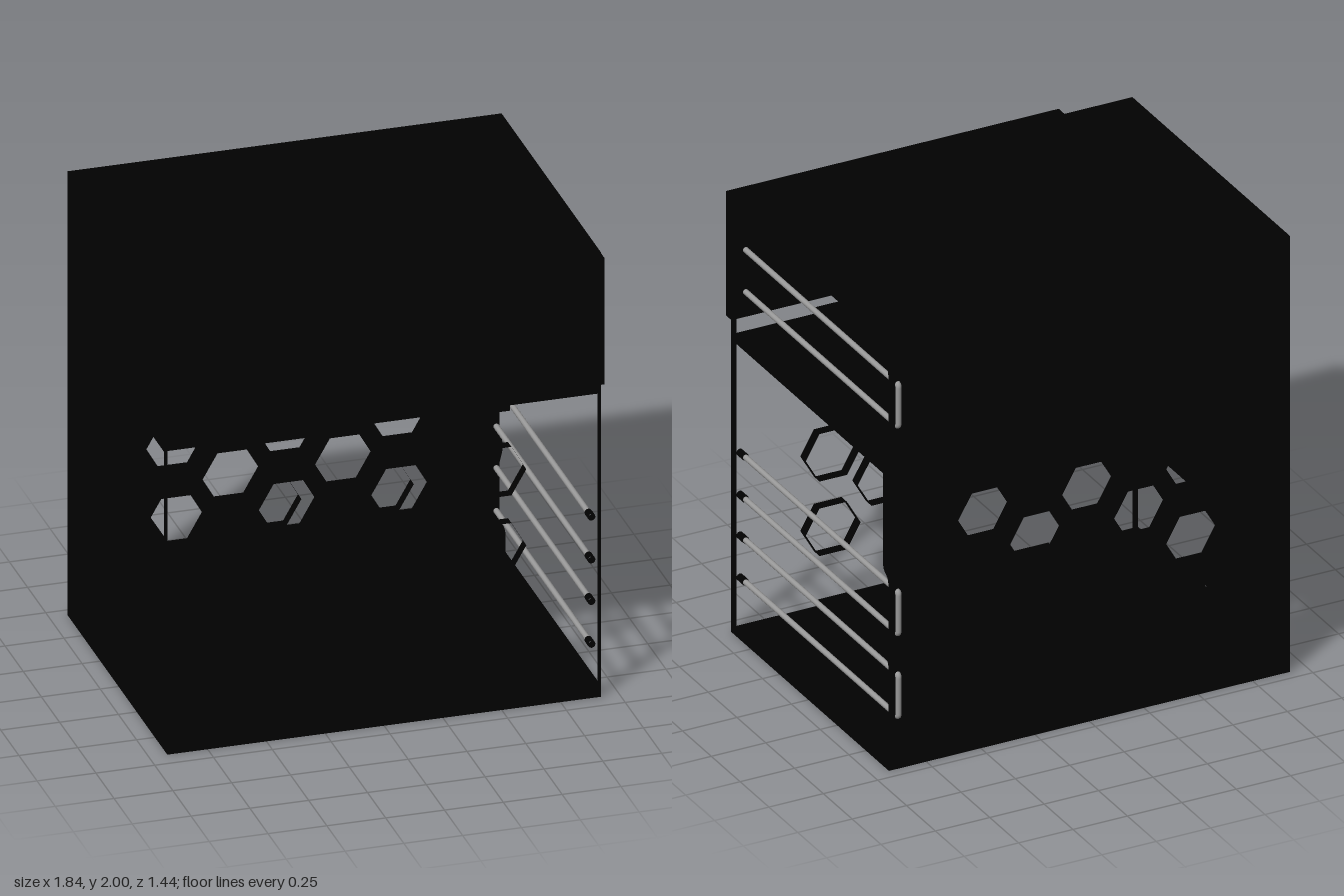
import * as THREE from 'three';

const black = new THREE.MeshStandardMaterial({ color: 0x010101 });
black.name = 'black panel';
const blackOpen = black.clone();
blackOpen.name = 'black open edge';
blackOpen.side = THREE.DoubleSide;
const steel = new THREE.MeshStandardMaterial({ color: 0x9a9a9a });
steel.name = 'steel rod';

const FRONT = 0.67, FRONT_IN = 0.622, BACK_IN = -0.647, BACK = -0.7, W = 0.922;
const RODS = [[0.242, 0.435], [0.622, 0.815], [1.575, 1.768]];
const ROD_X = 0.882, ROD_R = 0.013;

// regular polygon outline, first corner at the given angle
function ring(cx, cy, r, sides, turn = 0) {
  return Array.from({ length: sides }, (_, i) => {
    const a = turn + (i / sides) * Math.PI * 2;
    return new THREE.Vector2(cx + r * Math.cos(a), cy + r * Math.sin(a));
  });
}

// staggered honeycomb
function honeycomb() {
  const holes = [];
  for (const x of [-0.478, 0, 0.478]) for (const y of [0.385, 0.727, 1.07]) holes.push(ring(x, y, 0.126, 6));
  for (const x of [-0.239, 0.239]) for (const y of [0.557, 0.902]) holes.push(ring(x, y, 0.126, 6));
  return holes;
}

// flat sheet cut from an outline with holes
function sheet(shape, holes, depth) {
  shape.holes = holes.map((pts) => new THREE.Path(pts));
  return new THREE.ExtrudeGeometry(shape, { depth, bevelEnabled: false, curveSegments: 8 });
}

// open wall following a closed outline between two depths
function wall(points, z0, z1) {
  const pos = [], idx = [];
  points.forEach((p, i) => {
    const q = points[(i + 1) % points.length], b = i * 4;
    pos.push(p.x, p.y, z0, q.x, q.y, z0, q.x, q.y, z1, p.x, p.y, z1);
    idx.push(b, b + 1, b + 2, b, b + 2, b + 3);
  });
  const g = new THREE.BufferGeometry();
  g.setAttribute('position', new THREE.Float32BufferAttribute(pos, 3));
  g.setIndex(idx);
  g.computeVertexNormals();
  return g;
}

// finely threaded rod along z
function threadedRod(z0, z1) {
  const n = 110, step = (z1 - z0) / n, profile = [new THREE.Vector2(0, z0)];
  for (let i = 0; i <= n; i++) {
    profile.push(new THREE.Vector2(ROD_R - 0.0015, z0 + i * step));
    if (i < n) profile.push(new THREE.Vector2(ROD_R, z0 + (i + 0.5) * step));
  }
  profile.push(new THREE.Vector2(0, z1));
  return new THREE.LatheGeometry(profile, 10).rotateX(Math.PI / 2);
}

export function createModel() {
  const model = new THREE.Group();
  const add = (name, geo, mat = black) => {
    const m = new THREE.Mesh(geo, mat);
    m.name = name;
    model.add(m);
    return m;
  };
  const box = (name, x0, x1, y0, y1, z0, z1) =>
    add(name, new THREE.BoxGeometry(x1 - x0, y1 - y0, z1 - z0))
      .position.set((x0 + x1) / 2, (y0 + y1) / 2, (z0 + z1) / 2);

  // back panel with honeycomb, screw holes and scalloped notches for the handles
  const notch = 0.897;
  const s = new THREE.Shape();
  s.moveTo(-W, 0);
  s.lineTo(W, 0);
  s.lineTo(W, 0.13);
  s.bezierCurveTo(W, 0.17, notch, 0.18, notch, 0.225);
  s.lineTo(notch, 0.45);
  s.bezierCurveTo(notch, 0.47, 0.91, 0.49, 0.91, 0.528);
  s.bezierCurveTo(0.91, 0.566, notch, 0.585, notch, 0.605);
  s.lineTo(notch, 0.83);
  s.bezierCurveTo(notch, 0.87, W, 0.88, W, 0.94);
  s.lineTo(W, 1.46);
  s.bezierCurveTo(W, 1.5, notch, 1.51, notch, 1.555);
  s.lineTo(notch, 1.785);
  s.bezierCurveTo(notch, 1.83, W, 1.84, W, 1.88);
  s.lineTo(W, 2);
  s.lineTo(-W, 2);
  s.closePath();
  const screwHoles = [-0.787, 0.787].map((x) => ring(x, 1.205, 0.013, 12));
  add('backPanel', sheet(s, [...honeycomb(), ...screwHoles], BACK_IN - BACK)).position.z = BACK;

  // front frame: only the cut edges of the sheet and its holes
  const outline = [[-W, 0], [W, 0], [W, 2], [-W, 2]].map(([x, y]) => new THREE.Vector2(x, y));
  add('frontFrame', wall(outline, FRONT_IN, FRONT), blackOpen);
  honeycomb().forEach((pts) => add('frontHoleRim', wall(pts, FRONT_IN, FRONT), blackOpen));
  for (const y of RODS.flat()) add('rodSocket', wall(ring(ROD_X, y, 0.016, 12), FRONT_IN, FRONT), blackOpen);

  // top plate with a pair of small hexagonal openings
  const top = new THREE.Shape([[-W, -FRONT_IN], [W, -FRONT_IN], [W, -BACK_IN], [-W, -BACK_IN]]
    .map(([x, y]) => new THREE.Vector2(x, y)));
  const vents = [-0.062, 0.062].map((x) => ring(x, -0.49, 0.068, 6, Math.PI / 6));
  add('topPlate', sheet(top, vents, 0.05).rotateX(-Math.PI / 2)).position.y = 1.95;

  // lower plates
  const levels = [['bottomPlate', 0, 0.05], ['shelf', 1.343, 1.395]];
  for (const [name, y0, y1] of levels) box(name, -W, W, y0, y1, BACK_IN, FRONT_IN);

  // pairs of tabs reaching from each plate into the front frame
  for (const [name, y0, y1] of [...levels, ['topPlate', 1.95, 2]]) {
    for (const c of [-0.365, 0.365]) box(name + 'Tab', c - 0.17, c + 0.17, y0, y1, FRONT_IN, FRONT);
  }

  // closed side: upper panel and a middle strap
  box('sidePanel', -W, -W + 0.045, 1.395, 1.95, BACK_IN, FRONT_IN);
  box('sideStrap', -W, -W + 0.045, 0.502, 0.89, BACK_IN, FRONT_IN);

  // raised cover on the upper front
  box('frontCover', -0.61, 0.92, 1.43, 2, FRONT, 0.72);

  // threaded rods joined in pairs by a bent handle behind the back panel
  const zBack = -0.707, bend = 0.014;
  for (const [y0, y1] of RODS) {
    for (const y of [y0, y1]) add('threadedRod', threadedRod(BACK_IN, FRONT_IN), steel).position.set(ROD_X, y, 0);
    const v = (y, z) => new THREE.Vector3(ROD_X, y, z);
    const path = new THREE.CurvePath();
    path.add(new THREE.LineCurve3(v(y0, BACK_IN), v(y0, zBack + bend)));
    path.add(new THREE.QuadraticBezierCurve3(v(y0, zBack + bend), v(y0, zBack), v(y0 + bend, zBack)));
    path.add(new THREE.LineCurve3(v(y0 + bend, zBack), v(y1 - bend, zBack)));
    path.add(new THREE.QuadraticBezierCurve3(v(y1 - bend, zBack), v(y1, zBack), v(y1, zBack + bend)));
    path.add(new THREE.LineCurve3(v(y1, zBack + bend), v(y1, BACK_IN)));
    add('handle', new THREE.TubeGeometry(path, 80, ROD_R, 10, false), steel);
  }
  return model;
}
